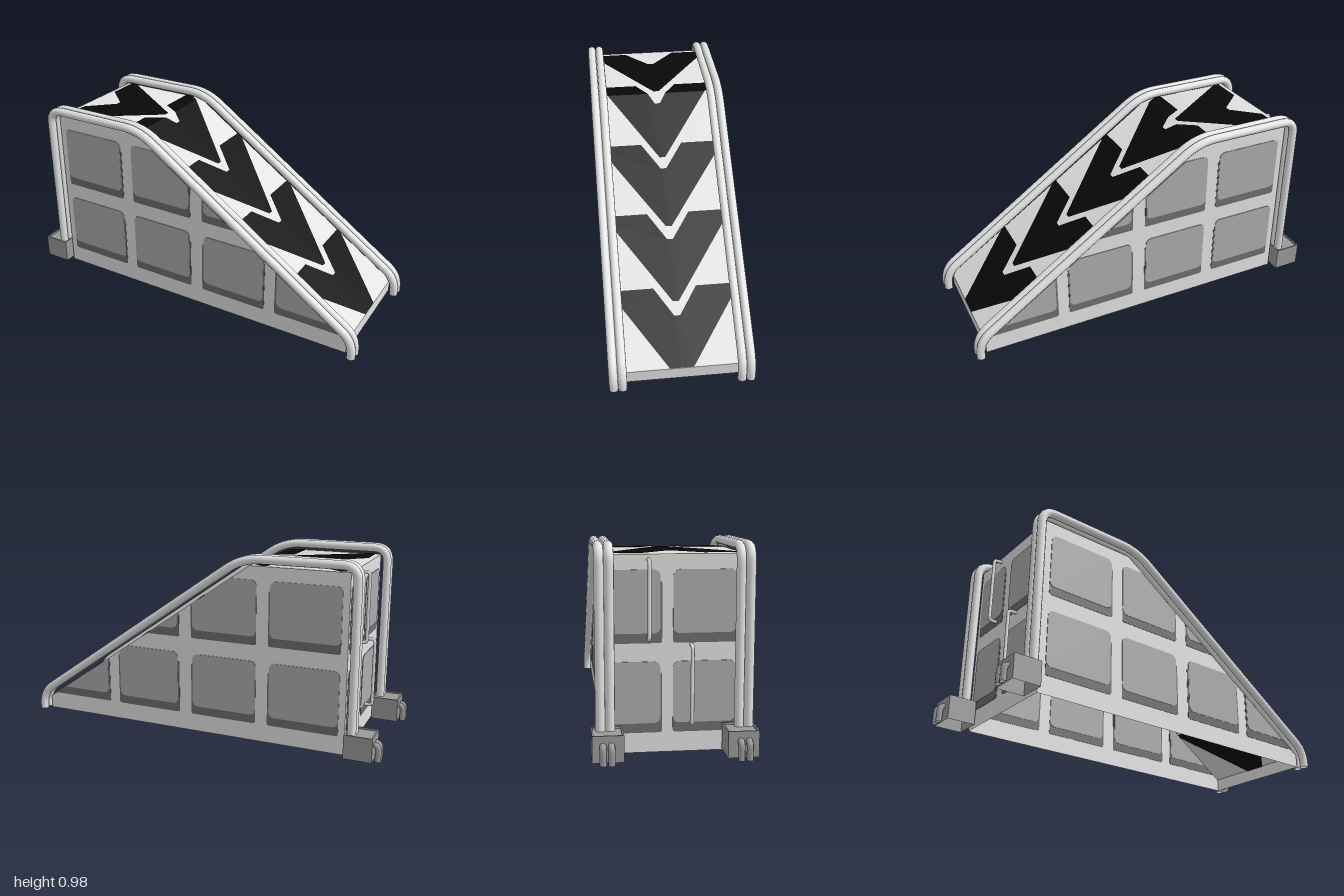
import * as THREE from 'three';

const mat = (name, color) => {
  const m = new THREE.MeshStandardMaterial({ color, side: THREE.DoubleSide });
  m.name = name;
  return m;
};
const V2 = (x, y) => new THREE.Vector2(x, y);

// Ramp outline: low lip, slope, flat top, tall end
const LOW = 0.94, LIP = 0.07, CREASE = -0.295, TOP = 0.92, END = -0.81, HALF = 0.32;
const SLOPE = (TOP - LIP) / (LOW - CREASE);
const PROFILE = [V2(LOW, 0), V2(LOW, LIP), V2(CREASE, TOP), V2(END, TOP), V2(END, 0)];

// Keep the part of a polygon where a*x + b*y <= c
function clip(pts, a, b, c) {
  const out = [];
  pts.forEach((p, i) => {
    const q = pts[(i + 1) % pts.length];
    const dp = a * p.x + b * p.y - c, dq = a * q.x + b * q.y - c;
    if (dp <= 0) out.push(p);
    if (dp * dq < 0) out.push(p.clone().lerp(q, dp / (dp - dq)));
  });
  return out;
}

function roundRect(x0, y0, x1, y1, r) {
  const s = new THREE.Shape();
  s.absarc(x1 - r, y1 - r, r, 0, Math.PI / 2);
  s.absarc(x0 + r, y1 - r, r, Math.PI / 2, Math.PI);
  s.absarc(x0 + r, y0 + r, r, Math.PI, Math.PI * 1.5);
  s.absarc(x1 - r, y0 + r, r, Math.PI * 1.5, Math.PI * 2);
  return s.getPoints(4);
}

// Thin plate centred on its wall, so it shows on both sides
function plate(pts, depth) {
  const g = new THREE.ExtrudeGeometry(new THREE.Shape(pts), { depth, bevelEnabled: false });
  return g.translate(0, 0, -depth / 2);
}

// Sheet spanning the ramp's width along a run of outline points, smooth across inner points
function sheet(points) {
  const pos = [], idx = [];
  points.forEach((p, i) => {
    pos.push(p.x, p.y, HALF, p.x, p.y, -HALF);
    const k = i * 2;
    if (i) idx.push(k - 2, k - 1, k + 1, k - 2, k + 1, k);
  });
  const g = new THREE.BufferGeometry();
  g.setAttribute('position', new THREE.Float32BufferAttribute(pos, 3));
  g.setIndex(idx);
  g.computeVertexNormals();
  return g;
}

// Tube along a polyline with rounded corners; cuts[i] is the rounding at inner corner i
function bentTube(points, cuts, radius, segments, sides) {
  const path = new THREE.CurvePath();
  const P = points.map(([x, y]) => new THREE.Vector3(x, y, 0));
  let from = P[0];
  for (let i = 1; i < P.length - 1; i++) {
    const toward = (q) => P[i].clone().add(q.clone().sub(P[i]).setLength(cuts[i - 1]));
    const a = toward(P[i - 1]), b = toward(P[i + 1]);
    path.add(new THREE.LineCurve3(from, a));
    path.add(new THREE.QuadraticBezierCurve3(a, P[i], b));
    from = b;
  }
  path.add(new THREE.LineCurve3(from, P[P.length - 1]));
  return new THREE.TubeGeometry(path, segments, radius, sides);
}

export function createModel() {
  const model = new THREE.Group();
  model.name = 'ramp';
  const shell = mat('light grey shell', 0xe2e2e2);
  const panel = mat('mid grey panel', 0xacacac);
  const recess = mat('dark grey recess', 0x6e6e6e);
  const black = mat('black chevron', 0x080808);
  const metal = mat('pale rail metal', 0xe4e4e4);
  const box = mat('grey foot box', 0x9a9a9a);

  const body = new THREE.Group();
  body.name = 'body';
  body.position.z = 0.008;
  model.add(body);
  const add = (parent, name, geo, material, x = 0, y = 0, z = 0) => {
    const m = new THREE.Mesh(geo, material);
    m.name = name;
    m.position.set(x, y, z);
    parent.add(m);
  };

  // Hollow shell, open underneath
  add(body, 'lip', sheet(PROFILE.slice(0, 2)), shell);
  add(body, 'deck', sheet(PROFILE.slice(1, 4)), shell);
  add(body, 'endWall', sheet(PROFILE.slice(3)), shell);
  const wall = new THREE.ShapeGeometry(new THREE.Shape(PROFILE));
  add(body, 'leftWall', wall, shell, 0, 0, HALF);
  add(body, 'rightWall', wall, shell, 0, 0, -HALF);

  // Panels: a dark rounded square with a lighter face over it
  const rows = [[0.095, 0.43], [0.515, 0.85]];
  const columns = [[-0.775, -0.4], [-0.335, 0.03], [0.1, 0.475], [0.535, 0.92]];
  const underSlope = (pts) => clip(pts, SLOPE, 1, SLOPE * LOW + LIP - 0.004);
  const panelPair = (x0, x1, y0, y1, i) => {
    const left = i > 1 ? 0.01 : 0, right = i > 2 ? 0 : 0.008;
    return [
      [roundRect(x0, y0, x1, y1 - 0.05, 0.012), 0.003, recess, 'panelRecess'],
      [roundRect(x0 + left, y0 + 0.045, x1 - right, y1, 0.03), 0.006, panel, 'panelFace'],
    ];
  };
  for (const [y0, y1] of rows) {
    columns.forEach(([x0, x1], i) => {
      for (const [pts, depth, m, name] of panelPair(x0, x1, y0, y1, i)) {
        const cut = underSlope(pts);
        if (cut.length < 3) continue;
        for (const s of [1, -1]) add(body, name, plate(cut, depth), m, 0, 0, s * HALF);
      }
    });
    for (const [z0, z1] of [[-0.295, -0.055], [-0.005, 0.295]]) {
      for (const [pts, depth, m, name] of panelPair(z0, z1, y0, y1, 0)) {
        add(body, name, plate(pts, depth).rotateY(-Math.PI / 2), m, END);
      }
    }
  }

  // Chevrons: back edge, outer corner, tip, notch (along x) and notch half width
  const chevrons = [
    [-0.785, -0.755, -0.32, -0.65, 0.14],
    [-0.39, -0.355, 0.02, -0.245, 0.11],
    [-0.045, -0.02, 0.34, 0.073, 0.11],
    [0.28, 0.3, 0.667, 0.398, 0.11],
    [0.607, 0.627, 0.995, 0.727, 0.11],
  ];
  const height = (x) => (x <= CREASE ? TOP : TOP - (x - CREASE) * SLOPE);
  for (const [b, o, t, n, w] of chevrons) {
    const half = [V2(b, w), V2(b, HALF), V2(o, HALF), V2(t, 0.015), V2(t, 0), V2(n, 0), V2(n, 0.015)];
    const pieces = [clip(half, 1, 0, CREASE), clip(clip(half, -1, 0, -CREASE), 1, 0, LOW)];
    for (const pts of pieces) {
      if (pts.length < 3) continue;
      for (const side of [1, -1]) for (const lift of [0.003, -0.003]) {
        const g = new THREE.ShapeGeometry(new THREE.Shape(pts.map((p) => V2(p.x, p.y * side))));
        const pos = g.attributes.position;
        for (let i = 0; i < pos.count; i++) {
          const x = pos.getX(i), z = pos.getY(i);
          pos.setXYZ(i, x, height(x) + lift, z);
        }
        // Turn the faces so that they look up
        const idx = Array.from(g.index.array);
        for (let i = 0; i < idx.length; i += 3) [idx[i], idx[i + 1]] = [idx[i + 1], idx[i]];
        g.setIndex(idx);
        g.computeVertexNormals();
        add(body, 'chevron', g, black);
      }
    }
  }

  // Paired handrails straddling each side wall
  const rail = bentTube(
    [[-0.85, 0.1], [-0.85, 0.957], [-0.263, 0.957], [0.976, 0.098], [0.976, 0]],
    [0.075, 0.1, 0.075], 0.0225, 140, 12);
  for (const z of [-0.3425, -0.2975, 0.2975, 0.3425]) add(body, 'handrail', rail, metal, 0, 0, z);

  // Foot boxes, open underneath, with a raised rim and two bent pegs
  const peg = bentTube([[-0.95, 0.088], [-0.983, 0.088], [-0.983, 0.005]], [0.025], 0.016, 16, 8);
  const footGeo = new THREE.BoxGeometry(0.143, 0.115, 0.143);
  footGeo.setIndex(Array.from(footGeo.index.array).filter((_, i) => i < 18 || i >= 24));
  footGeo.clearGroups();
  const rimShape = new THREE.Shape(roundRect(-0.0715, -0.0715, 0.0715, 0.0715, 0.004));
  rimShape.holes.push(new THREE.Path(roundRect(-0.064, -0.064, 0.064, 0.064, 0.004)));
  const rimGeo = new THREE.ExtrudeGeometry(rimShape, { depth: 0.009, bevelEnabled: false }).rotateX(-Math.PI / 2);
  for (const s of [1, -1]) {
    const foot = new THREE.Group();
    foot.name = s > 0 ? 'leftFoot' : 'rightFoot';
    add(foot, 'footBox', footGeo, box, -0.8915, 0.0675, s * 0.305);
    add(foot, 'footRim', rimGeo, box, -0.8915, 0.125, s * 0.305);
    for (const d of [-0.019, 0.019]) add(foot, 'peg', peg, box, 0, 0, s * 0.31 + d);
    model.add(foot);
  }

  // Grab handles on the tall end
  for (const [z, y0, y1] of [[-0.11, 0.535, 0.895], [0.087, 0.14, 0.505]]) {
    const g = bentTube([[END, y0], [-0.853, y0], [-0.853, y1], [END, y1]], [0.018, 0.018], 0.009, 48, 8);
    add(model, 'grabHandle', g, metal, 0, 0, z);
  }
  return model;
}
